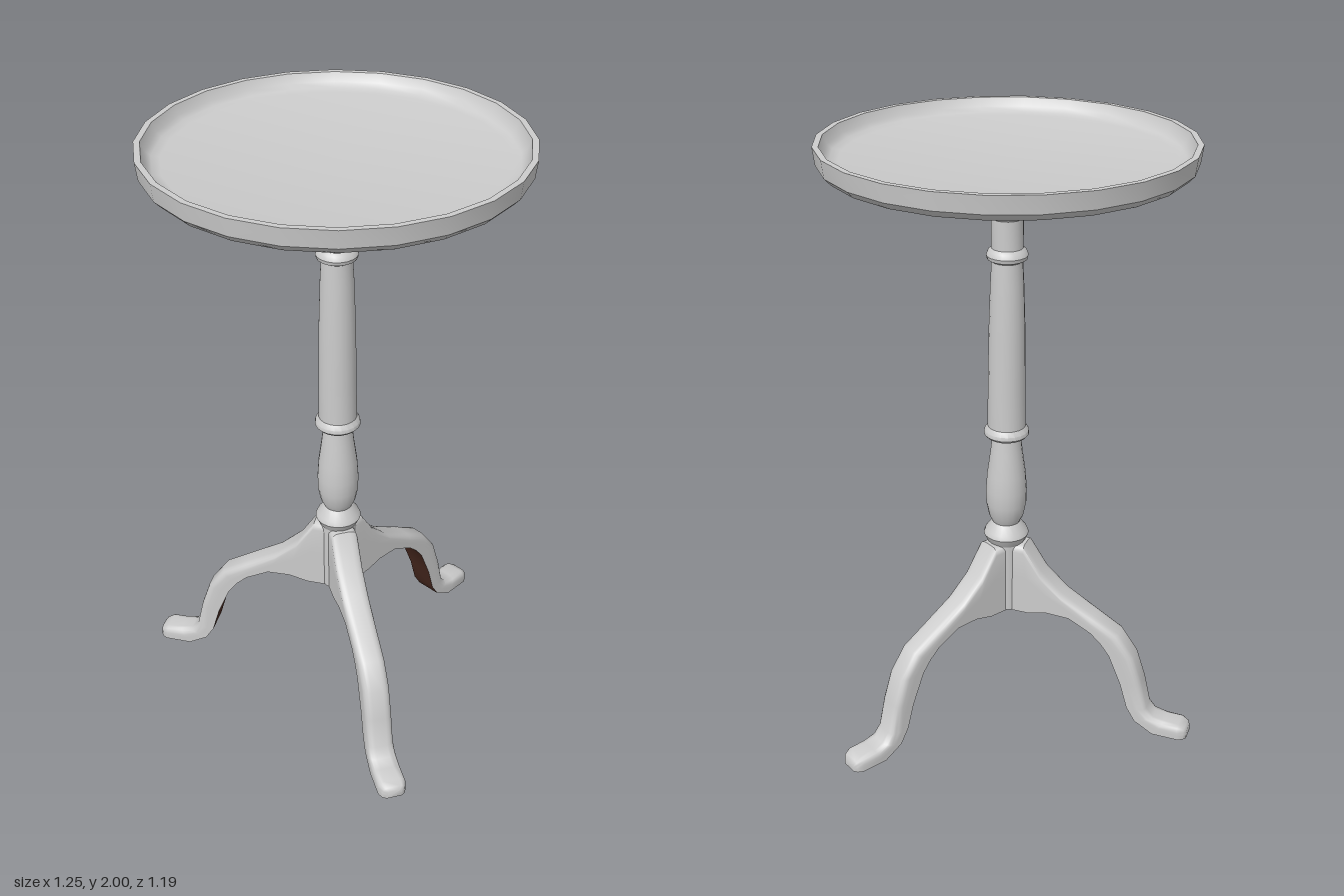
import * as THREE from 'three';
import { toCreasedNormals } from 'three/addons/utils/BufferGeometryUtils.js';

const grey = new THREE.MeshStandardMaterial({ color: 0xcccccc });
const brown = new THREE.MeshStandardMaterial({ color: 0x4a2a20 });

// Turned part from [radius, height] pairs, listed bottom to top
function turned(name, profile, segments) {
  const points = profile.map(([r, y]) => new THREE.Vector2(r, y));
  const mesh = new THREE.Mesh(toCreasedNormals(new THREE.LatheGeometry(points, segments), 0.6), grey);
  mesh.name = name;
  return mesh;
}

// Leg stations: top (distance, height), bottom (distance, height), half width
const STATIONS = [
  [0, 0.64, 0, 0.385, 0.045],
  [0.075, 0.64, 0.1, 0.385, 0.045],
  [0.133, 0.55, 0.164, 0.4, 0.045],
  [0.207, 0.48, 0.243, 0.397, 0.045],
  [0.323, 0.413, 0.323, 0.355, 0.045],
  [0.413, 0.36, 0.36, 0.32, 0.045],
  [0.47, 0.28, 0.39, 0.28, 0.045],
  [0.502, 0.185, 0.434, 0.175, 0.045],
  [0.525, 0.085, 0.46, 0.085, 0.045],
  [0.55, 0.056, 0.49, 0.037, 0.046],
  [0.59, 0.05, 0.555, 0, 0.047],
  [0.64, 0.048, 0.645, 0, 0.047],
  [0.662, 0.038, 0.662, 0, 0.038],
  [0.67, 0.028, 0.67, 0, 0.026],
];

// Cross-section with square lower corners and rounded upper corners
function section([tx, ty, bx, by, w]) {
  const top = new THREE.Vector2(tx, ty);
  const bottom = new THREE.Vector2(bx, by);
  const height = top.distanceTo(bottom);
  const up = top.clone().sub(bottom).divideScalar(height);
  const c = Math.min(0.025, height * 0.45, w * 0.7);
  const at = (s, z) => new THREE.Vector3(bx + up.x * s, by + up.y * s, z);
  const side = [at(0, w), at((height - c) * 0.6, w)];
  for (let k = 0; k <= 4; k++) {
    const a = (k / 4) * Math.PI / 2;
    side.push(at(height - c + c * Math.sin(a), w - c + c * Math.cos(a)));
  }
  const mirrored = side.map((p) => new THREE.Vector3(p.x, p.y, -p.z)).reverse();
  return [...side, ...mirrored];
}

// Skin joining a row of equal-length sections, with an optional end cap
function loft(rows, capped) {
  const n = rows[0].length;
  const points = rows.flat();
  const index = [];
  for (let i = 0; i < rows.length - 1; i++) {
    for (let j = 0; j < n - 1; j++) {
      const a = i * n + j;
      const b = a + n;
      index.push(a, b, b + 1, a, b + 1, a + 1);
    }
  }
  if (capped) {
    const first = (rows.length - 1) * n;
    for (let j = 1; j < n - 1; j++) index.push(first, first + j + 1, first + j);
  }
  const geometry = new THREE.BufferGeometry().setFromPoints(points);
  geometry.setIndex(index);
  return toCreasedNormals(geometry, 0.9);
}

export function createModel() {
  const table = new THREE.Group();
  table.name = 'tripodTable';
  const body = new THREE.Group();
  body.name = 'tableBody';
  body.position.x = -0.051;
  table.add(body);

  // Dished round top with raised rim
  body.add(turned('tableTop', [
    [0, 1.915], [0.52, 1.915], [0.55, 1.924], [0.57, 1.945], [0.577, 2],
    [0.558, 2], [0.546, 1.972], [0.53, 1.958], [0.505, 1.953], [0, 1.953],
  ], 24));

  // Stepped plate beneath the top
  body.add(turned('mountingPlate', [
    [0, 1.85], [0.12, 1.85], [0.15, 1.856], [0.17, 1.872], [0.21, 1.876],
    [0.215, 1.888], [0.235, 1.892], [0.24, 1.903], [0.235, 1.916], [0, 1.916],
  ], 24));

  // Turned column with rings and a vase-shaped lower section
  body.add(turned('column', [
    [0.05, 0.62], [0.064, 0.64], [0.076, 0.665], [0.07, 0.68], [0.046, 0.71],
    [0.058, 0.735], [0.067, 0.78], [0.068, 0.83], [0.064, 0.89], [0.053, 0.97], [0.047, 1.025],
    [0.066, 1.028], [0.074, 1.037], [0.073, 1.05], [0.062, 1.065],
    [0.061, 1.2], [0.058, 1.4], [0.053, 1.55], [0.049, 1.625],
    [0.063, 1.633], [0.066, 1.645], [0.06, 1.66], [0.05, 1.668], [0.05, 1.762],
    [0.061, 1.775], [0.068, 1.795], [0.068, 1.812], [0.059, 1.82],
    [0.07, 1.828], [0.075, 1.842], [0.075, 1.86],
  ], 20));

  // Hub where the legs join
  body.add(turned('legHub', [[0, 0.387], [0.06, 0.387], [0.06, 0.645], [0, 0.645]], 20));

  // Three curved legs with pad feet
  const sections = STATIONS.map(section);
  const skin = loft(sections, true);
  const under = loft(sections.map((s) => [s[s.length - 1], s[0]]), false);
  for (let i = 0; i < 3; i++) {
    const leg = new THREE.Group();
    leg.name = `leg${i + 1}`;
    const outer = new THREE.Mesh(skin, grey);
    outer.name = 'legBody';
    const base = new THREE.Mesh(under, brown);
    base.name = 'legUnderside';
    leg.add(outer, base);
    leg.rotation.y = (i * 2 * Math.PI) / 3;
    body.add(leg);
  }
  return table;
}
